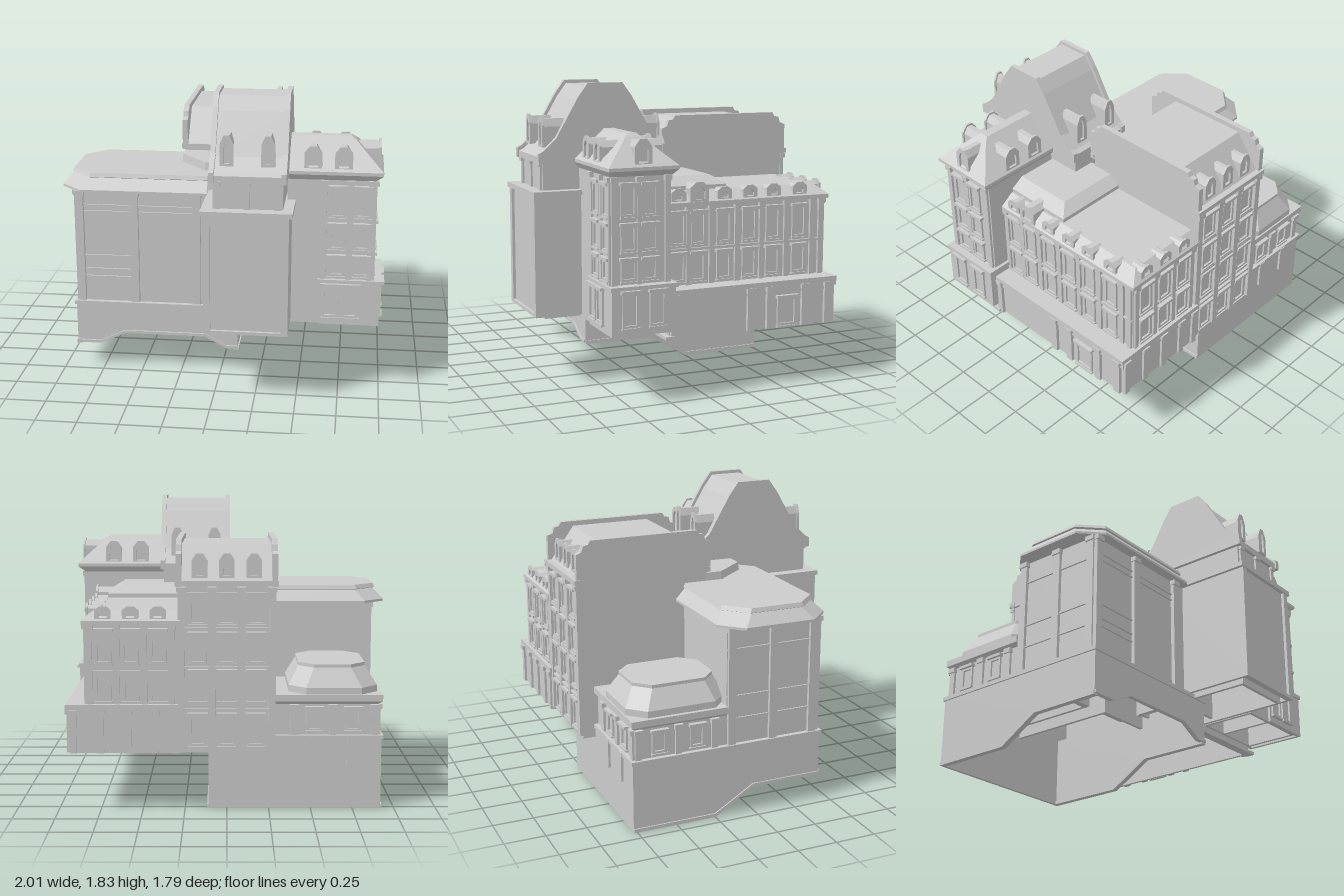
import * as THREE from 'three';

const mat = new THREE.MeshStandardMaterial({ color: 0xcccccc, flatShading: true, side: THREE.DoubleSide });

function add(parent, name, geo) {
  const m = new THREE.Mesh(geo, mat);
  m.name = name;
  parent.add(m);
  return m;
}
// box given by its limits
function box(p, name, x0, x1, y0, y1, z0, z1) {
  const g = new THREE.BoxGeometry(x1 - x0, y1 - y0, z1 - z0);
  g.translate((x0 + x1) / 2, (y0 + y1) / 2, (z0 + z1) / 2);
  return add(p, name, g);
}
const shapeOf = pts => new THREE.Shape(pts.map(q => new THREE.Vector2(q[0], q[1])));
const rect = (x0, x1, y0, y1) => [[x0, y0], [x1, y0], [x1, y1], [x0, y1]];
const extrude = (s, depth) => new THREE.ExtrudeGeometry(s, { depth, bevelEnabled: false });
// four walls around a rectangle, open above and below
function walls(p, name, x0, x1, z0, z1, y0, y1, t = 0.02) {
  const s = shapeOf(rect(x0, x1, -z1, -z0));
  s.holes.push(shapeOf(rect(x0 + t, x1 - t, -z1 + t, -z0 - t)));
  return add(p, name, extrude(s, y1 - y0).rotateX(-Math.PI / 2).translate(0, y0, 0));
}
// profile of [z, y] points swept from x0 to x1
function sweepX(p, name, pts, x0, x1) {
  const g = extrude(shapeOf(pts.map(([z, y]) => [-z, y])), x1 - x0);
  return add(p, name, g.rotateY(Math.PI / 2).translate(x0, 0, 0));
}
// outlines in [x, z], counter-clockwise seen from above
const quad = (x0, x1, z0, z1) => [[x0, z1], [x1, z1], [x1, z0], [x0, z0]];
const oct = (x0, x1, z0, z1, c) => [[x0 + c, z1], [x1 - c, z1], [x1, z1 - c], [x1, z0 + c],
  [x1 - c, z0], [x0 + c, z0], [x0, z0 + c], [x0, z1 - c]];
// stacked convex outlines [y, outline] joined to a closed solid
function loft(p, name, rings) {
  const v = [], n = rings[0][1].length;
  const pt = (r, i) => [rings[r][1][i % n][0], rings[r][0], rings[r][1][i % n][1]];
  const last = rings.length - 1;
  for (let r = 0; r < last; r++)
    for (let i = 0; i < n; i++) {
      const a = pt(r, i), b = pt(r, i + 1), c = pt(r + 1, i + 1), d = pt(r + 1, i);
      v.push(...a, ...b, ...c, ...a, ...c, ...d);
    }
  for (let i = 1; i < n - 1; i++)
    v.push(...pt(last, 0), ...pt(last, i), ...pt(last, i + 1), ...pt(0, 0), ...pt(0, i + 1), ...pt(0, i));
  const g = new THREE.BufferGeometry();
  g.setAttribute('position', new THREE.Float32BufferAttribute(v, 3));
  g.computeVertexNormals();
  return add(p, name, g);
}
// group on a facade: local x runs to the right along the wall, z points outward
const TURN = { south: 0, east: Math.PI / 2, north: Math.PI, west: -Math.PI / 2 };
function facade(p, name, side, plane) {
  const f = new THREE.Group();
  f.name = name;
  f.rotation.y = TURN[side];
  const out = { south: [0, 1], east: [1, 0], north: [0, -1], west: [-1, 0] }[side];
  f.position.set(out[0] * Math.abs(plane), 0, out[1] * Math.abs(plane));
  p.add(f);
  return f;
}
function windowFrame(f, x, y0, w, h) {
  const s = shapeOf(rect(-w / 2, w / 2, 0, h));
  s.holes.push(shapeOf(rect(-w / 2 + 0.014, w / 2 - 0.014, 0.014, h - 0.014)));
  add(f, 'windowFrame', extrude(s, 0.012)).position.set(x, y0, 0);
  box(f, 'windowLintel', x - w / 2 - 0.01, x + w / 2 + 0.01, y0 + h, y0 + h + 0.018, 0, 0.028);
  box(f, 'windowSill', x - w / 2 - 0.005, x + w / 2 + 0.005, y0 - 0.012, y0, 0, 0.02);
}
function pilaster(f, x, y0, y1, w = 0.035, d = 0.015) {
  box(f, 'pilaster', x - w / 2, x + w / 2, y0, y1, 0, d);
  box(f, 'pilasterCap', x - w / 2 - 0.006, x + w / 2 + 0.006, y1 - 0.03, y1, 0, d + 0.01);
}
// dormer with its front at z and a body running back by d
function dormer(f, x, y, z, w, h, d) {
  const house = (a, b, c) => [[-a, c], [a, c], [a, b * 0.72], [a * 0.4, b], [-a * 0.4, b], [-a, b * 0.72]];
  add(f, 'dormerBody', extrude(shapeOf(house(w / 2, h, 0)), d)).position.set(x, y, z - d);
  const s = shapeOf(house(w / 2 + 0.01, h + 0.012, 0));
  s.holes.push(shapeOf(house(w / 2 - 0.014, h - 0.018, 0.015)));
  add(f, 'dormerFrame', extrude(s, 0.014)).position.set(x, y, z);
}
// symmetric gable profile around a centre z from [offset, y] pairs
const gable = (zc, half) => [...half.map(([d, y]) => [zc + d, y]), ...half.map(([d, y]) => [zc - d, y]).reverse()];

export function createModel() {
  const g = new THREE.Group();
  g.name = 'building';

  // stepped foundation, open underneath
  const cut = [[0.45, 0.16], [0.0, 0.16], [-0.25, 0.01], [-0.77, 0.01]];
  for (const x of [-0.92, 0.09]) {
    sweepX(g, 'baseSideWall', [...cut, [-0.77, 0.44], [0.45, 0.44]], x, x + 0.02);
    sweepX(g, 'baseSideTrim', [...cut.map(([z, y]) => [z, y - 0.01]),
      ...cut.map(([z, y]) => [z, y + 0.012]).reverse()], x - 0.008, x + 0.028);
  }
  const arch = [[-0.92, 0.16], [-0.77, 0.16], [-0.61, 0.235], [-0.1, 0.235], [0.04, 0.16], [0.11, 0.16]];
  add(g, 'baseFrontWall', extrude(shapeOf([...arch, [0.11, 0.44], [-0.92, 0.44]]), 0.02)).position.z = 0.43;
  add(g, 'baseFrontTrim', extrude(shapeOf([...arch, ...arch.map(([x, y]) => [x, y + 0.018]).reverse()]), 0.012)).position.z = 0.448;
  box(g, 'baseBackWall', -0.92, 0.11, 0, 0.44, -0.77, -0.75);
  walls(g, 'baseBand', -0.93, 0.12, -0.78, 0.46, 0.42, 0.445, 0.03);

  // great hall
  walls(g, 'hallWalls', -0.9, 0.05, -0.17, 0.42, 0.43, 1.18);
  const hallRing = i => oct(-1 + i, 0.05, -0.225 + i, 0.48 - i, 0.13);
  loft(g, 'hallRoof', [[1.17, hallRing(0)], [1.185, hallRing(0)], [1.25, hallRing(0.06)],
    [1.255, hallRing(0.05)], [1.28, hallRing(0.06)]]);
  const hs = facade(g, 'hallFront', 'south', 0.42);
  for (const x of [-0.885, -0.54, -0.15]) pilaster(hs, x, 0.43, 1.17, 0.05, 0.025);
  for (const y of [0.6, 0.65, 0.74, 1.03, 1.07]) box(hs, 'hallMoulding', -0.86, y > 1 ? -0.17 : -0.56, y, y + 0.008, 0, 0.01);
  const hw = facade(g, 'hallSide', 'west', 0.9);
  for (const z of [-0.14, 0.13, 0.395]) pilaster(hw, z, 0.43, 1.17, 0.05, 0.02);
  for (const y of [0.6, 0.74, 1.03]) box(hw, 'hallMoulding', -0.17, 0.42, y, y + 0.008, 0, 0.01);

  // low rear annex with a faceted roof
  walls(g, 'annexWalls', -0.9, -0.28, -0.75, -0.17, 0.43, 0.64);
  loft(g, 'annexCornice', [[0.63, quad(-0.9, -0.28, -0.75, -0.17)], [0.65, quad(-0.925, -0.28, -0.775, -0.17)],
    [0.69, quad(-0.925, -0.28, -0.775, -0.17)]]);
  loft(g, 'annexRoof', [[0.69, oct(-0.9, -0.37, -0.765, -0.14, 0.1)], [0.73, oct(-0.9, -0.37, -0.765, -0.14, 0.1)],
    [0.84, oct(-0.83, -0.43, -0.7, -0.19, 0.09)], [0.86, oct(-0.83, -0.43, -0.7, -0.19, 0.09)]]);
  const an = facade(g, 'annexBack', 'north', 0.75);
  for (const x of [0.4, 0.63, 0.88]) pilaster(an, x, 0.44, 0.63, 0.04);
  for (const x of [0.52, 0.75]) windowFrame(an, x, 0.47, 0.09, 0.13);
  for (const x of [0.52, 0.74]) box(an, 'wallShaft', x - 0.025, x + 0.025, 0.26, 0.44, 0, 0.035);
  const aw = facade(g, 'annexSide', 'west', 0.9);
  for (const z of [-0.73, -0.48, -0.25]) pilaster(aw, z, 0.44, 0.63, 0.04);
  for (const z of [-0.6, -0.36]) windowFrame(aw, z, 0.47, 0.09, 0.13);

  // tall central block between stepped gables
  walls(g, 'centreWalls', -0.28, 0.28, -0.85, -0.02, 0.36, 1.37);
  sweepX(g, 'centreRoof', [[-0.01, 1.36], [-0.2, 1.58], [-0.7, 1.58], [-0.86, 1.36]], -0.27, 0.27);
  const step = gable(-0.435, [[0.435, 1.34], [0.435, 1.53], [0.4, 1.545], [0.39, 1.58], [0.36, 1.585], [0.345, 1.61]]);
  for (const x of [-0.295, 0.262]) sweepX(g, 'centreGable', step, x, x + 0.033);
  box(g, 'centreCornice', -0.3, 0.3, 1.345, 1.375, -0.885, -0.84);
  box(g, 'centreFrontCornice', -0.3, 0.3, 1.345, 1.375, -0.03, 0.0);
  const cn = facade(g, 'centreBack', 'north', 0.85);
  for (const x of [-0.265, -0.085, 0.085, 0.265]) pilaster(cn, x, 0.38, 1.34, 0.04, 0.022);
  for (const x of [-0.17, 0, 0.17]) {
    windowFrame(cn, x, 0.4, 0.1, 0.18);
    for (const y of [0.67, 0.89, 1.12]) windowFrame(cn, x, y, 0.1, 0.17);
    dormer(cn, x * 0.93, 1.39, -0.02, 0.07, 0.13, 0.1);
  }
  for (const y of [0.61, 0.86, 1.09]) box(cn, 'centreBand', -0.28, 0.28, y, y + 0.014, 0, 0.018);

  // angled infill roof beside the tower
  loft(g, 'infillRoof', [[1.18, [[-0.29, 0.1], [-0.12, 0.3], [0.02, 0.3], [0.02, -0.03], [-0.29, -0.03]]],
    [1.33, [[-0.28, 0.08], [-0.11, 0.28], [0.02, 0.28], [0.02, -0.03], [-0.28, -0.03]]]]);

  // east terrace
  walls(g, 'terraceWalls', 0.27, 0.92, -0.87, 0.23, 0.36, 0.58);
  walls(g, 'terraceDeck', 0.27, 0.945, -0.885, 0.23, 0.62, 0.65, 0.14);
  walls(g, 'terraceFrieze', 0.27, 0.93, -0.875, 0.23, 0.57, 0.62, 0.05);
  const te = facade(g, 'terraceSide', 'east', 0.92);
  for (const x of [-0.2, 0.3, 0.43, 0.67, 0.83]) pilaster(te, x, 0.36, 0.62, 0.045, 0.02);
  windowFrame(te, 0.55, 0.37, 0.13, 0.17);
  const tn = facade(g, 'terraceBack', 'north', 0.87);
  for (const x of [-0.9, -0.74, -0.58, -0.42, -0.3]) pilaster(tn, x, 0.36, 0.62, 0.04, 0.015);

  // east wing with dormered mansard
  walls(g, 'wingWalls', 0.27, 0.82, -0.85, 0.23, 0.62, 1.14);
  loft(g, 'wingRoof', [[1.12, quad(0.27, 0.845, -0.875, 0.23)], [1.145, quad(0.27, 0.845, -0.875, 0.23)],
    [1.205, quad(0.27, 0.76, -0.81, 0.23)]]);
  loft(g, 'wingRaisedRoof', [[1.19, quad(0.27, 0.75, -0.22, 0.23)], [1.23, quad(0.27, 0.75, -0.22, 0.23)],
    [1.28, quad(0.27, 0.67, -0.15, 0.23)]]);
  const we = facade(g, 'wingSide', 'east', 0.82);
  const bays = [-0.13, 0.0, 0.17, 0.34, 0.5, 0.68];
  bays.forEach((x, i) => {
    windowFrame(we, x, 0.67, 0.095, 0.165);
    windowFrame(we, x, 0.89, 0.095, 0.19);
    if (i === 1) dormer(we, x, 1.145, 0.01, 0.1, 0.105, 0.12);
    else dormer(we, x, 1.145, 0.0, 0.075, 0.07, 0.08);
  });
  for (const x of [-0.205, -0.065, 0.085, 0.255, 0.42, 0.59, 0.77, 0.83]) pilaster(we, x, 0.65, 1.12, 0.03);
  box(we, 'wingBand', -0.2, 0.85, 0.86, 0.872, 0, 0.014);
  const wn = facade(g, 'wingBack', 'north', 0.85);
  for (const x of [-0.72, -0.56, -0.4]) {
    windowFrame(wn, x, 0.67, 0.095, 0.165);
    windowFrame(wn, x, 0.89, 0.095, 0.19);
    dormer(wn, x, 1.145, 0, 0.075, 0.07, 0.08);
  }
  for (const x of [-0.8, -0.64, -0.48, -0.32]) pilaster(wn, x, 0.65, 1.12, 0.03);

  // front tower: lower block, shaft, steep roof between gables
  walls(g, 'towerLowerWalls', -0.05, 0.45, 0.3, 0.87, 0.44, 1.18);
  box(g, 'towerLedge', -0.07, 0.47, 1.17, 1.2, 0.28, 0.895);
  const tl = facade(g, 'towerLowerFront', 'south', 0.87);
  for (const x of [-0.03, 0.43]) box(tl, 'towerCorner', x - 0.02, x + 0.02, 0.44, 1.17, 0, 0.018);
  box(tl, 'towerPlinth', -0.05, 0.45, 0.44, 0.46, 0, 0.018);
  walls(g, 'towerShaft', 0, 0.41, 0.02, 0.82, 0.42, 1.4);
  const half = [[0.42, 1.36], [0.42, 1.42], [0.39, 1.435], [0.31, 1.51], [0.17, 1.75], [0.11, 1.83]];
  sweepX(g, 'towerRoof', gable(0.43, half.map(([d, y]) => [d - 0.01, y - (y > 1.4 ? 0.02 : 0)])), 0, 0.41);
  for (const x of [-0.022, 0.4]) sweepX(g, 'towerGable', gable(0.43, half), x, x + 0.03);
  const ts = facade(g, 'towerUpperFront', 'south', 0.82);
  for (const x of [0.03, 0.2, 0.38]) pilaster(ts, x, 1.2, 1.37, 0.03, 0.012);
  for (const x of [0.08, 0.32]) {
    dormer(ts, x, 1.45, -0.03, 0.06, 0.17, 0.13);
    const back = facade(g, 'towerBackDormer', 'north', 0);
    dormer(back, -x, 1.45, -0.06, 0.06, 0.17, 0.13);
  }

  // south-east pavilion with hipped roof
  walls(g, 'pavilionWalls', 0.42, 0.935, 0.225, 0.595, 0.42, 1.36);
  walls(g, 'pavilionBay', 0.62, 0.985, 0.215, 0.61, 0.42, 0.7);
  loft(g, 'pavilionBayCap', [[0.685, quad(0.61, 0.995, 0.205, 0.62)], [0.71, quad(0.61, 0.995, 0.205, 0.62)]]);
  loft(g, 'pavilionRoof', [[1.33, quad(0.42, 0.94, 0.22, 0.6)], [1.365, quad(0.42, 0.985, 0.195, 0.625)],
    [1.385, quad(0.42, 0.985, 0.195, 0.625)], [1.54, quad(0.42, 0.82, 0.36, 0.46)], [1.56, quad(0.42, 0.79, 0.38, 0.44)]]);
  const ps = facade(g, 'pavilionFront', 'south', 0.595);
  const pe = facade(g, 'pavilionSide', 'east', 0.935);
  for (const [f, cols, pils] of [[ps, [0.72, 0.87], [0.64, 0.795, 0.92]], [pe, [-0.49, -0.36], [-0.58, -0.425, -0.25]]]) {
    for (const x of cols) for (const [y, h] of [[0.73, 0.12], [0.9, 0.15], [1.1, 0.18]]) windowFrame(f, x, y, 0.095, h);
    for (const x of pils) pilaster(f, x, 0.71, 1.33, 0.032);
  }
  const pb = facade(g, 'pavilionBayFront', 'south', 0.61);
  for (const x of [0.69, 0.81]) windowFrame(pb, x, 0.47, 0.1, 0.2);
  const pbe = facade(g, 'pavilionBaySide', 'east', 0.985);
  for (const x of [-0.5, -0.33]) windowFrame(pbe, x, 0.47, 0.1, 0.2);
  const pn = facade(g, 'pavilionBack', 'north', 0);
  for (const x of [0.57, 0.75]) {
    dormer(ps, x, 1.39, 0.0, 0.085, 0.13, 0.13);
    dormer(pn, -x, 1.39, -0.22, 0.085, 0.13, 0.13);
  }
  dormer(pe, -0.41, 1.39, 0.02, 0.085, 0.14, 0.12);
  box(g, 'pavilionFloorSlab', 0.28, 0.95, 0.36, 0.38, 0.2, 0.26);
  return g;
}
